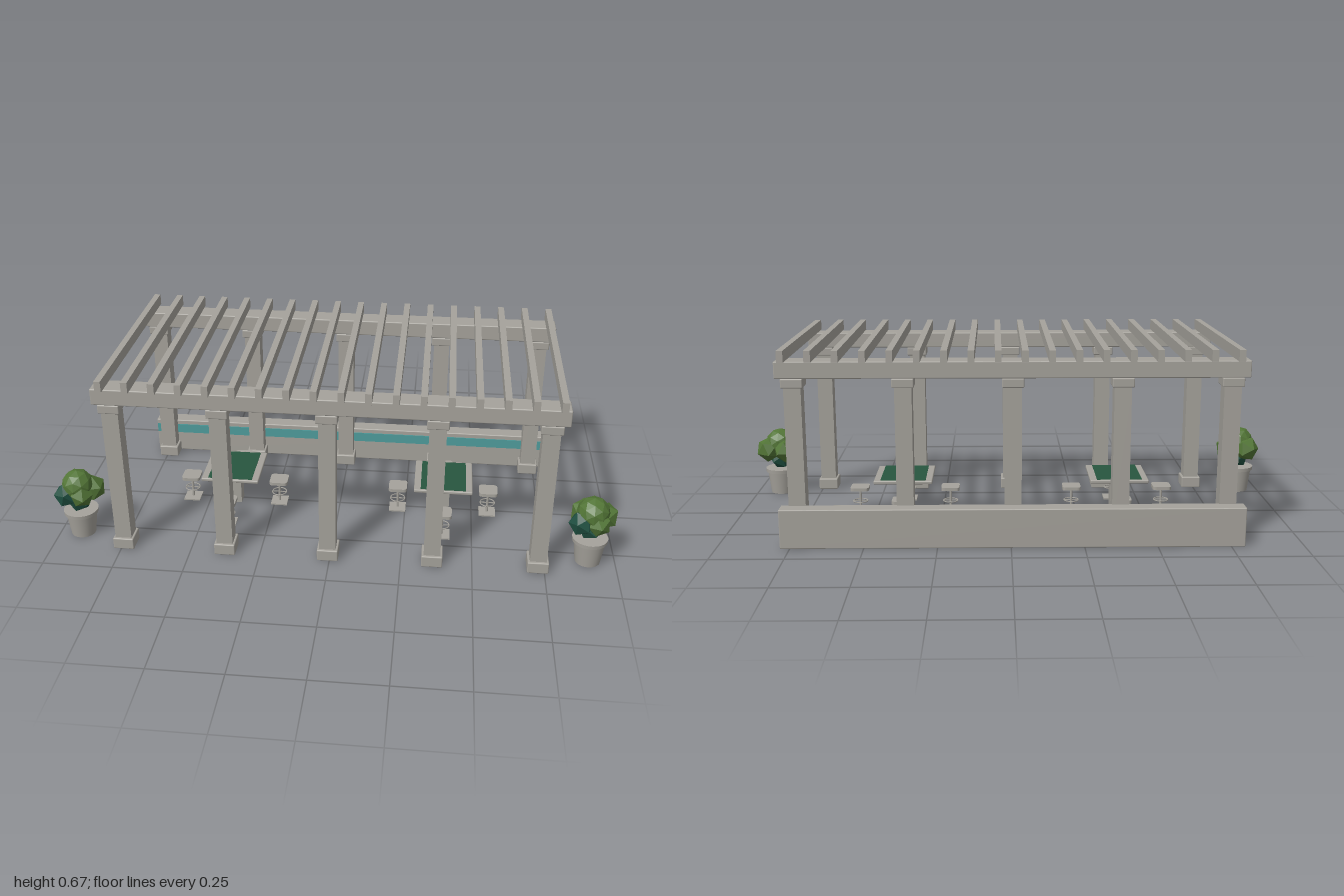
import * as THREE from 'three';
import { RoundedBoxGeometry } from 'three/addons/geometries/RoundedBoxGeometry.js';

const mat = (name, color, extra = {}) => {
  const m = new THREE.MeshStandardMaterial({ color, ...extra });
  m.name = name;
  return m;
};

export function createModel() {
  const stone = mat('stone', 0xa5a29b);
  const teal = mat('teal tile', 0x4f9c9c);
  const felt = mat('green felt', 0x28563f);
  const leaf = mat('leaf green', 0x527536, { flatShading: true });
  const darkLeaf = mat('dark leaf green', 0x1f4f40, { flatShading: true });

  const root = new THREE.Group();
  root.name = 'pergola';

  const add = (parent, name, geometry, material, x = 0, y = 0, z = 0) => {
    const mesh = new THREE.Mesh(geometry, material);
    mesh.name = name;
    mesh.position.set(x, y, z);
    parent.add(mesh);
    return mesh;
  };
  const group = (name, x, z) => {
    const g = new THREE.Group();
    g.name = name;
    g.position.set(x, 0, z);
    root.add(g);
    return g;
  };
  const block = (w, h, d, r = 0.004) => new RoundedBoxGeometry(w, h, d, 2, r);

  // Two rows of five columns, each row carrying a long beam
  const midX = -0.007, length = 1.58;
  const footGeo = block(0.074, 0.043, 0.078);
  const shaftGeo = new THREE.BoxGeometry(0.058, 0.51, 0.058);
  const capGeo = block(0.074, 0.032, 0.078);
  const beamGeo = block(length, 0.058, 0.078);
  for (const z of [0.348, -0.327]) {
    for (let i = -2; i <= 2; i++) {
      const column = group('column', midX + i * 0.3665, z);
      add(column, 'columnBase', footGeo, stone, 0, 0.0215, 0);
      add(column, 'columnShaft', shaftGeo, stone, 0, 0.295, 0);
      add(column, 'columnCapital', capGeo, stone, 0, 0.561, 0);
    }
    add(root, 'beam', beamGeo, stone, midX, 0.606, z);
  }

  // Rafters across the beams
  const rafterGeo = new THREE.BoxGeometry(0.022, 0.039, 0.793);
  for (let i = 0; i < 18; i++) {
    add(root, 'rafter', rafterGeo, stone, -0.76 + i * 0.0892, 0.6545, 0.0105);
  }

  // Low back wall with a tiled band on its inner face
  add(root, 'backWall', block(length, 0.138, 0.057), stone, midX, 0.069, -0.3755);
  add(root, 'tileBand', new THREE.BoxGeometry(length - 0.004, 0.037, 0.005), teal, midX, 0.1015, -0.346);

  // Rounded square seat
  const h = 0.034, r = 0.014, s = new THREE.Shape();
  s.moveTo(-h + r, -h);
  s.lineTo(h - r, -h);
  s.quadraticCurveTo(h, -h, h, -h + r);
  s.lineTo(h, h - r);
  s.quadraticCurveTo(h, h, h - r, h);
  s.lineTo(-h + r, h);
  s.quadraticCurveTo(-h, h, -h, h - r);
  s.lineTo(-h, -h + r);
  s.quadraticCurveTo(-h, -h, -h + r, -h);
  const seatGeo = new THREE.ExtrudeGeometry(s, { depth: 0.012, bevelEnabled: false, curveSegments: 5 });
  seatGeo.rotateX(-Math.PI / 2);

  const tableTopGeo = block(0.214, 0.013, 0.217);
  const feltGeo = new THREE.BoxGeometry(0.165, 0.003, 0.202);
  const pedestalGeo = new THREE.BoxGeometry(0.05, 0.138, 0.05);
  const plateGeo = new THREE.BoxGeometry(0.062, 0.005, 0.062);
  const postGeo = new THREE.CylinderGeometry(0.0045, 0.0045, 0.088, 10);
  const ringGeo = new THREE.TorusGeometry(0.027, 0.0022, 6, 24).rotateX(Math.PI / 2);
  const spokeGeo = new THREE.BoxGeometry(0.054, 0.003, 0.003);

  // Two game tables with four stools each
  for (const x of [-0.401, 0.39]) {
    const table = group('table', x, 0.011);
    add(table, 'tableTop', tableTopGeo, stone, 0, 0.1425, 0);
    add(table, 'tableFelt', feltGeo, felt, 0, 0.1488, 0);
    add(table, 'tablePedestal', pedestalGeo, stone, 0, 0.069, 0);
    for (let i = 0; i < 4; i++) {
      const a = i * Math.PI / 2;
      const stool = group('stool', x + Math.cos(a) * 0.169, 0.011 + Math.sin(a) * 0.169);
      add(stool, 'stoolSeat', seatGeo, stone, 0, 0.088, 0);
      add(stool, 'stoolPost', postGeo, stone, 0, 0.045, 0);
      add(stool, 'stoolFoot', plateGeo, stone, 0, 0.0025, 0);
      add(stool, 'footRing', ringGeo, stone, 0, 0.043, 0);
      add(stool, 'footRingSpoke', spokeGeo, stone, 0, 0.043, 0);
    }
  }

  // Potted shrubs beside the pergola
  const potBodyGeo = new THREE.CylinderGeometry(0.055, 0.044, 0.088, 24);
  const potRimGeo = new THREE.CylinderGeometry(0.062, 0.061, 0.014, 24);
  const foliage = [
    // x, y, z, radius, material
    [0.0, 0.2, 0.0, 0.058, leaf],
    [0.043, 0.178, -0.02, 0.05, leaf],
    [-0.025, 0.178, -0.036, 0.05, leaf],
    [0.018, 0.172, 0.026, 0.045, leaf],
    [-0.038, 0.168, 0.022, 0.046, darkLeaf],
    [0.0, 0.14, 0.0, 0.047, darkLeaf],
  ];
  for (const x of [-0.918, 0.905]) {
    const plant = group('pottedShrub', x, 0.288);
    add(plant, 'potBody', potBodyGeo, stone, 0, 0.044, 0);
    add(plant, 'potRim', potRimGeo, stone, 0, 0.093, 0);
    foliage.forEach(([fx, fy, fz, fr, m], i) => {
      const ball = add(plant, 'foliage', new THREE.IcosahedronGeometry(fr, i ? 0 : 1), m, fx, fy, fz);
      ball.rotation.set(i * 0.7, i * 1.3 + (x > 0 ? 0.5 : 0), 0);
    });
  }
  return root;
}
